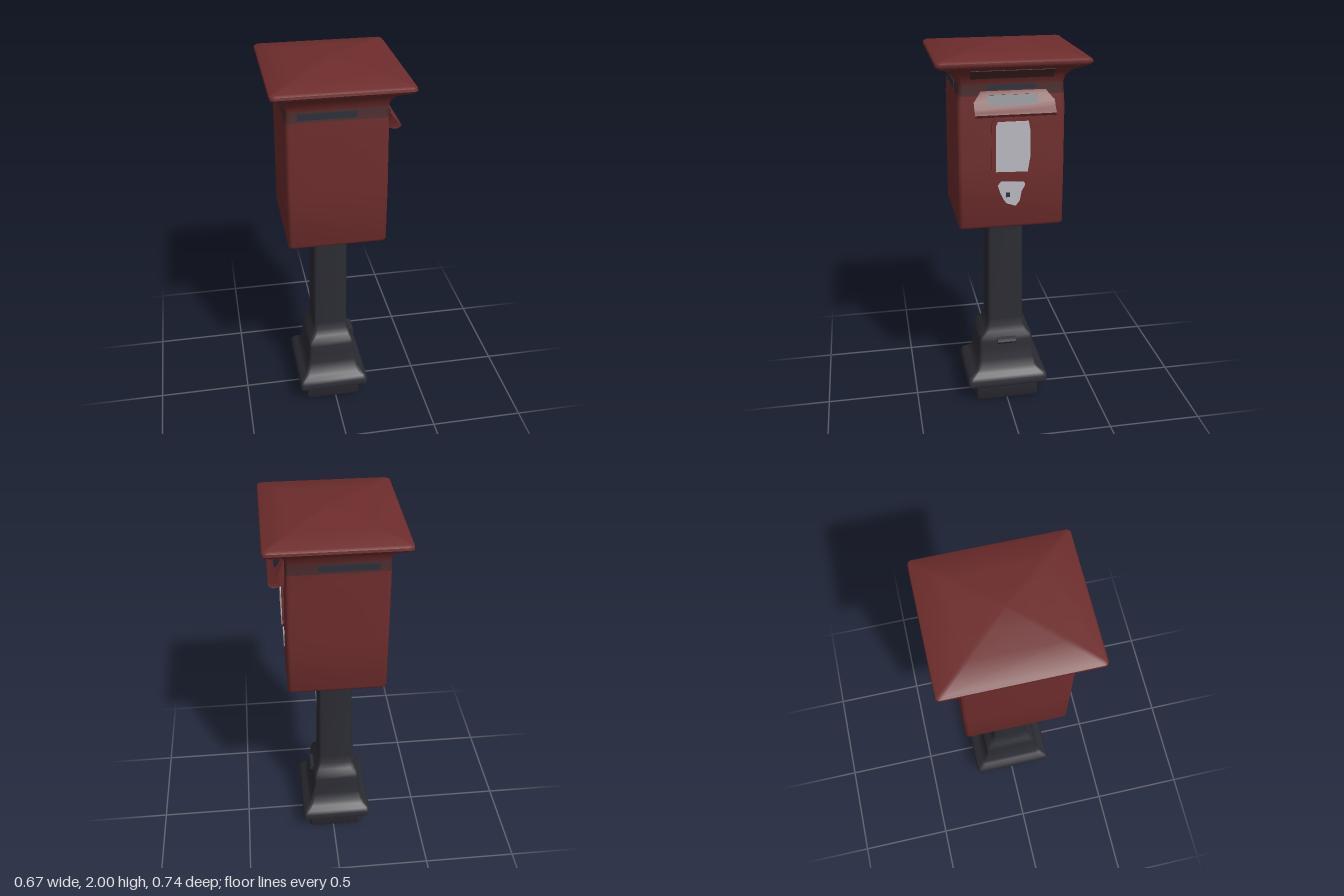
import * as THREE from 'three';
import { toCreasedNormals } from 'three/addons/utils/BufferGeometryUtils.js';

const mat = (name, color) => {
  const m = new THREE.MeshStandardMaterial({ color });
  m.name = name;
  return m;
};

// Stack of rounded rectangles; each section is [y, xMin, xMax, half depth]
function loft(sections, radius = 0.02) {
  const pos = [], idx = [], steps = 4, n = 4 * (steps + 1);
  for (const [y, x0, x1, hz] of sections) {
    const cx = (x0 + x1) / 2, hx = (x1 - x0) / 2;
    const r = Math.min(radius, hx * 0.6, hz * 0.6);
    for (let c = 0; c < 4; c++) {
      const sx = c === 0 || c === 3 ? 1 : -1, sz = c < 2 ? 1 : -1;
      for (let k = 0; k <= steps; k++) {
        const a = (c + k / steps) * Math.PI / 2;
        pos.push(cx + sx * (hx - r) + r * Math.cos(a), y, sz * (hz - r) + r * Math.sin(a));
      }
    }
  }
  const last = sections.length - 1;
  for (let s = 0; s < last; s++) {
    for (let i = 0; i < n; i++) {
      const a = s * n + i, b = s * n + (i + 1) % n;
      idx.push(a, a + n, b, b, a + n, b + n);
    }
  }
  // End caps
  for (const s of [0, last]) {
    const [y, x0, x1] = sections[s], centre = pos.length / 3;
    pos.push((x0 + x1) / 2, y, 0);
    for (let i = 0; i < n; i++) {
      const a = s * n + i, b = s * n + (i + 1) % n;
      if (s === 0) idx.push(centre, a, b);
      else idx.push(centre, b, a);
    }
  }
  const g = new THREE.BufferGeometry();
  g.setAttribute('position', new THREE.Float32BufferAttribute(pos, 3));
  g.setIndex(idx);
  return toCreasedNormals(g, 0.75);
}

const shapeOf = (pts) => new THREE.Shape(pts.map(([x, y]) => new THREE.Vector2(x, y)));

// Profile in x and y, drawn out along z; ends narrow with height by taper
function along(pts, half, z = 0, taper = () => 1) {
  const g = new THREE.ExtrudeGeometry(shapeOf(pts), { depth: half * 2, bevelEnabled: false });
  g.translate(0, 0, -half);
  const p = g.attributes.position;
  for (let i = 0; i < p.count; i++) p.setZ(i, p.getZ(i) * taper(p.getY(i)) + z);
  return toCreasedNormals(g, 0.6);
}

// Outline on the +x side, u running towards -z
function sidePlate(pts, x, depth) {
  const g = new THREE.ExtrudeGeometry(shapeOf(pts), { depth, bevelEnabled: false });
  g.rotateY(Math.PI / 2);
  g.translate(x, 0, 0);
  return g;
}

export function createModel() {
  const red = mat('postbox red', 0x6e2c2c);
  const iron = mat('dark iron', 0x2c2c34);
  const brown = mat('worn brown', 0x4a2a2b);
  const slate = mat('slate', 0x2c303b);
  const white = mat('pale label', 0xbcbac2);

  const group = new THREE.Group();
  group.name = 'pillarPostbox';
  const add = (name, geometry, material) => {
    const m = new THREE.Mesh(geometry, material);
    m.name = name;
    group.add(m);
    return m;
  };

  // Pedestal: plinth, moulded foot and square post
  add('plinth', loft([
    [0, -0.155, 0.13, 0.168], [0.012, -0.164, 0.138, 0.176], [0.115, -0.164, 0.138, 0.176],
  ]), iron);
  add('foot', loft([
    [0.103, -0.2, 0.168, 0.216], [0.112, -0.208, 0.176, 0.223], [0.145, -0.208, 0.176, 0.223],
    [0.165, -0.2, 0.167, 0.213], [0.182, -0.178, 0.145, 0.187], [0.2, -0.166, 0.133, 0.168],
    [0.25, -0.152, 0.12, 0.156], [0.32, -0.144, 0.108, 0.15], [0.36, -0.146, 0.107, 0.149],
    [0.385, -0.142, 0.102, 0.142], [0.41, -0.125, 0.09, 0.12], [0.44, -0.113, 0.08, 0.101],
    [0.48, -0.109, 0.076, 0.097],
  ]), iron);
  add('post', loft([
    [0.46, -0.11, 0.076, 0.097], [1.0, -0.106, 0.072, 0.094],
    [1.085, -0.107, 0.074, 0.096], [1.105, -0.117, 0.084, 0.108],
  ]), iron);
  add('footLip', along([[0.08, 0.33], [0.115, 0.345], [0.128, 0.36], [0.122, 0.375], [0.08, 0.39]], 0.05), iron);

  // Box, painted band, flared cornice and low hipped roof
  add('box', loft([
    [1.098, -0.245, 0.225, 0.25], [1.103, -0.255, 0.236, 0.261], [1.115, -0.259, 0.241, 0.266],
    [1.4, -0.259, 0.24, 0.265], [1.7, -0.258, 0.235, 0.263], [1.775, -0.257, 0.232, 0.26],
  ]), red);
  add('band', loft([
    [1.77, -0.257, 0.232, 0.26], [1.8, -0.256, 0.231, 0.256], [1.835, -0.256, 0.231, 0.254],
  ]), brown);
  add('cornice', loft([
    [1.83, -0.257, 0.232, 0.255], [1.86, -0.262, 0.24, 0.263], [1.885, -0.276, 0.26, 0.285],
    [1.905, -0.298, 0.29, 0.318], [1.918, -0.316, 0.318, 0.35], [1.928, -0.328, 0.33, 0.363],
  ]), red);
  add('roof', loft([
    [1.926, -0.328, 0.328, 0.362], [1.936, -0.334, 0.334, 0.369], [1.948, -0.333, 0.333, 0.367],
    [1.957, -0.322, 0.322, 0.355], [1.977, -0.2, 0.2, 0.22], [1.992, -0.09, 0.09, 0.1],
    [2, -0.012, 0.012, 0.014],
  ]), red);
  add('corniceStreak', along([
    [0.236, 1.86], [0.243, 1.858], [0.263, 1.883], [0.293, 1.903], [0.287, 1.907], [0.258, 1.888],
  ], 0.2), brown);

  // Slate strips painted on the band
  for (const s of [1, -1]) {
    add(s > 0 ? 'frontBandStrip' : 'backBandStrip', new THREE.BoxGeometry(0.28, 0.032, 0.008), slate)
      .position.set(-0.06, 1.803, s * 0.255);
    add(s > 0 ? 'leftBandStrip' : 'rightBandStrip', new THREE.BoxGeometry(0.008, 0.024, 0.24), slate)
      .position.set(s > 0 ? 0.229 : -0.254, 1.815, 0);
  }

  // Letter slot with its projecting lip
  add('slotLip', along([
    [0.215, 1.665], [0.25, 1.677], [0.285, 1.682], [0.304, 1.688], [0.311, 1.7], [0.302, 1.709],
    [0.286, 1.722], [0.264, 1.752], [0.247, 1.782], [0.232, 1.797], [0.215, 1.8],
  ], 0.195, -0.008, (y) => (y > 1.77 ? 0.8 : y < 1.68 ? 0.88 : 1)), red);
  add('letterSlot', along([
    [0.25, 1.736], [0.279, 1.736], [0.268, 1.753], [0.251, 1.781], [0.24, 1.781],
  ], 0.122, 0, (y) => (y < 1.75 ? 0.85 : 1)), slate);

  // Notice panel in a shallow frame
  add('panelFrame', sidePlate([
    [-0.1, 1.41], [-0.085, 1.385], [0.085, 1.385], [0.1, 1.41], [0.1, 1.64], [0.085, 1.665],
    [-0.085, 1.665], [-0.1, 1.64],
  ], 0.22, 0.029), red);
  add('noticePanel', sidePlate([
    [-0.08, 1.4], [0.078, 1.395], [0.09, 1.47], [0.09, 1.6], [0.08, 1.65], [-0.07, 1.65], [-0.08, 1.63],
  ], 0.246, 0.007), white);

  // Lock plate and keyhole
  add('lockPlate', sidePlate([
    [-0.025, 1.23], [0.02, 1.215], [0.04, 1.24], [0.05, 1.29], [0.068, 1.325], [0.062, 1.34],
    [-0.055, 1.345], [-0.07, 1.325], [-0.055, 1.28], [-0.04, 1.25],
  ], 0.237, 0.008), white);
  add('keyhole', new THREE.BoxGeometry(0.006, 0.024, 0.02), slate).position.set(0.244, 1.276, 0.02);

  return group;
}
